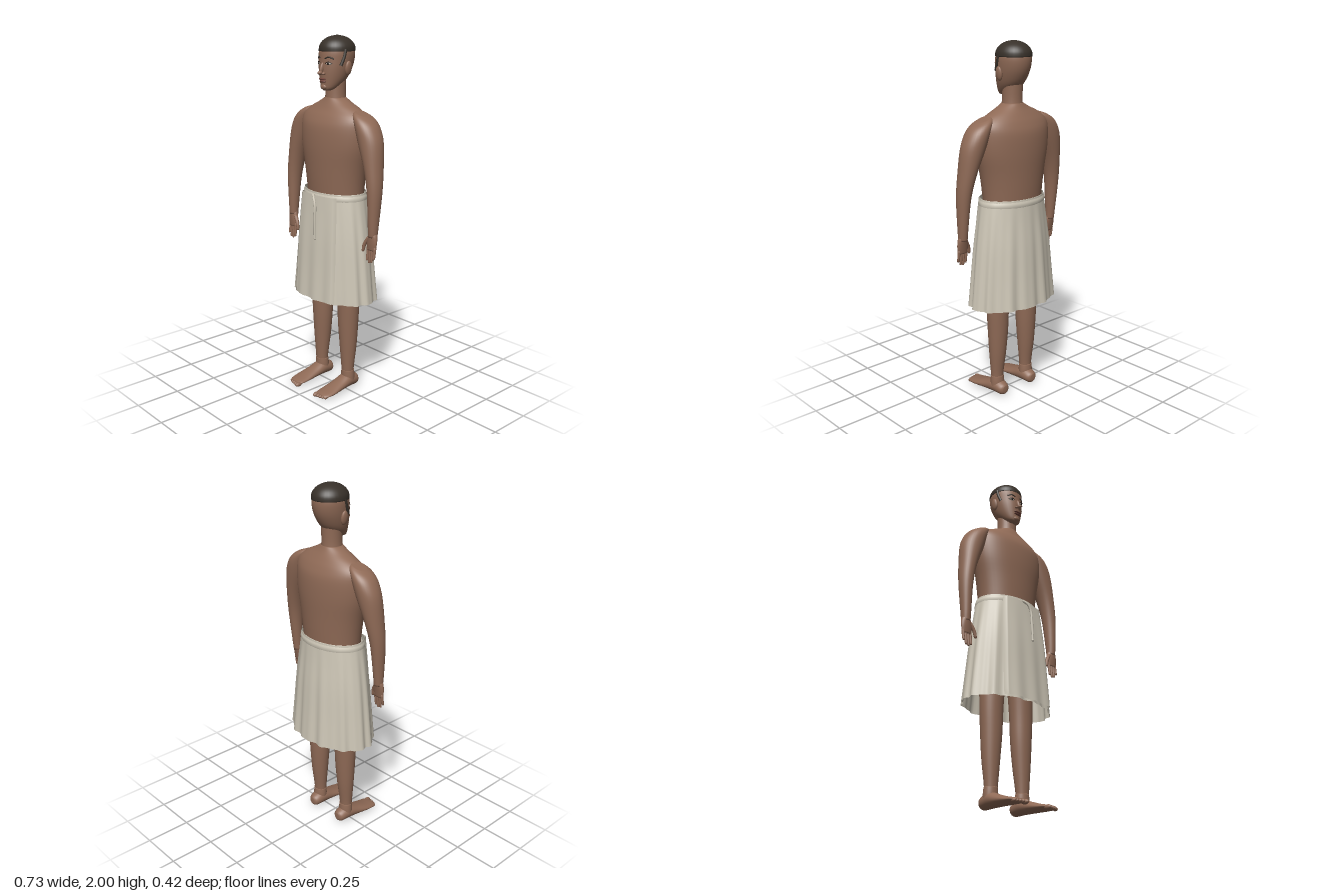
import * as THREE from 'three';

const mat = (name, color) => Object.assign(new THREE.MeshStandardMaterial({ color }), { name });

// Smooth surface from fn(u, v) -> [x, y, z]; u may wrap around
function surface(nu, nv, fn, wrap) {
  const pos = [], idx = [], cols = wrap ? nu : nu + 1;
  for (let j = 0; j <= nv; j++)
    for (let i = 0; i < cols; i++) pos.push(...fn(i / nu, j / nv));
  for (let j = 0; j < nv; j++)
    for (let i = 0; i < nu; i++) {
      const a = j * cols + i, b = j * cols + (i + 1) % cols;
      idx.push(a, b, a + cols, b, b + cols, a + cols);
    }
  const g = new THREE.BufferGeometry();
  g.setAttribute('position', new THREE.Float32BufferAttribute(pos, 3));
  g.setIndex(idx);
  g.computeVertexNormals();
  return g;
}

// Smoothly interpolated section at t in 0..1 along the keys
function section(keys, t) {
  const f = t * (keys.length - 1), i = Math.min(Math.floor(f), keys.length - 2), k = f - i;
  const at = n => keys[Math.max(0, Math.min(keys.length - 1, n))];
  return keys[i].map((b, c) => {
    const d = at(i + 1)[c], m0 = (d - at(i - 1)[c]) / 2, m1 = (at(i + 2)[c] - b) / 2;
    return b + m0 * k + (3 * (d - b) - 2 * m0 - m1) * k * k + (2 * (b - d) + m0 + m1) * k * k * k;
  });
}

// Loft of ellipses, bottom to top; key = [y, cx, cz, rx, rz, slope], closed at both ends
function loft(keys, sides = 32, steps = 4) {
  const n = (keys.length - 1) * steps;
  return surface(sides, n + 2, (u, v) => {
    const j = Math.round(v * (n + 2)) - 1;
    const [y, cx, cz, rx, rz, slope] = section(keys, Math.max(0, Math.min(n, j)) / n);
    const open = j < 0 || j > n ? 0 : 1, a = u * Math.PI * 2;
    const dx = open * rx * Math.sin(a);
    return [cx + dx, y + slope * dx, cz + open * rz * Math.cos(a)];
  }, true);
}
const mirrorKeys = (keys, s) => keys.map(k => [k[0], k[1] * s, k[2], k[3], k[4], (k[5] || 0) * s]);

// Point on the draped skirt; angle 0 is the front, off pushes outwards
const skirtKeys = [[0.56, 0.278, -0.027, 0.18], [0.72, 0.262, -0.026, 0.17], [0.9, 0.243, -0.025, 0.16],
  [1.05, 0.222, -0.024, 0.148], [1.17, 0.202, -0.024, 0.139]];
function skirtPoint(a, t, off = 0) {
  const [y, rx, cz, rz] = section(skirtKeys, t);
  const fold = 1 - t;
  const r = off + fold * (0.006 * Math.sin(13 * a) + 0.004 * Math.sin(22 * a + 1));
  return [(rx + r) * Math.sin(a), y, cz + (rz + r) * Math.cos(a)];
}

export function createModel() {
  const model = new THREE.Group();
  const skin = mat('skin', 0x8f6a56), hair = mat('hair', 0x38312a), cloth = mat('linen', 0xcdc6b6);
  const lip = mat('lips', 0x70443b), white = mat('eye white', 0xb5a89b), dark = mat('iris', 0x241a15);
  cloth.side = THREE.DoubleSide;

  const add = (name, geo, material, p = [0, 0, 0], parent = model) => {
    const m = new THREE.Mesh(geo, material);
    m.name = name;
    m.position.set(...p);
    parent.add(m);
    return m;
  };
  const ball = (name, material, p, r, parent) => {
    const m = add(name, new THREE.SphereGeometry(1, 18, 12), material, p, parent);
    m.scale.set(...r);
    return m;
  };
  const tube = (name, material, pts, r, parent) => add(name, new THREE.TubeGeometry(
    new THREE.CatmullRomCurve3(pts.map(p => new THREE.Vector3(...p))), 16, r, 8), material, [0, 0, 0], parent);

  // Torso and neck
  add('torso', loft(mirrorKeys([
    [0.95, 0, -0.03, 0.17, 0.115], [1.17, 0, -0.028, 0.186, 0.13], [1.3, 0, -0.027, 0.204, 0.136],
    [1.42, 0, -0.027, 0.23, 0.139], [1.52, 0, -0.028, 0.237, 0.132], [1.575, 0, -0.029, 0.228, 0.112],
    [1.615, 0, -0.03, 0.18, 0.088], [1.65, 0, -0.028, 0.105, 0.068], [1.675, 0, -0.027, 0.058, 0.056],
  ], 1), 48), skin);
  add('neck', loft(mirrorKeys([[1.64, 0, -0.027, 0.06, 0.058], [1.7, 0, -0.027, 0.055, 0.055],
    [1.79, 0, -0.03, 0.056, 0.055]], 1)), skin);

  // Head and close-cropped hair
  const head = new THREE.Group();
  head.name = 'head';
  model.add(head);
  add('skull', loft(mirrorKeys([
    [1.714, 0, 0.033, 0.02, 0.02], [1.728, 0, 0.02, 0.043, 0.042], [1.77, 0, -0.008, 0.067, 0.074],
    [1.82, 0, -0.024, 0.082, 0.092], [1.87, 0, -0.034, 0.09, 0.1], [1.92, 0, -0.037, 0.091, 0.1],
    [1.96, 0, -0.037, 0.075, 0.084], [1.985, 0, -0.037, 0.035, 0.04],
  ], 1)), skin, [0, 0, 0], head);
  add('hairCap', loft(mirrorKeys([
    [1.918, 0, -0.038, 0.094, 0.102], [1.945, 0, -0.038, 0.091, 0.099], [1.972, 0, -0.038, 0.073, 0.08],
    [1.991, 0, -0.038, 0.043, 0.048], [2, 0, -0.038, 0.008, 0.009],
  ], 1)), hair, [0, 0, 0], head);

  // Face
  ball('noseTip', skin, [0, 1.808, 0.083], [0.012, 0.011, 0.016], head);
  ball('noseBridge', skin, [0, 1.832, 0.07], [0.009, 0.032, 0.013], head).rotation.x = -0.28;
  ball('upperLip', lip, [0, 1.775, 0.067], [0.027, 0.006, 0.01], head);
  ball('lowerLip', lip, [0, 1.763, 0.063], [0.023, 0.007, 0.012], head);
  ball('chin', skin, [0, 1.734, 0.056], [0.022, 0.016, 0.014], head);

  for (const s of [1, -1]) {
    const side = s > 0 ? 'left' : 'right';
    ball(side + 'Nostril', skin, [0.014 * s, 1.804, 0.071], [0.009, 0.008, 0.011], head);
    ball(side + 'Eye', white, [0.037 * s, 1.856, 0.055], [0.017, 0.007, 0.007], head).rotation.y = 0.4 * s;
    ball(side + 'Iris', dark, [0.037 * s, 1.856, 0.06], [0.0065, 0.0065, 0.004], head);
    tube(side + 'UpperLid', dark, [[0.019, 1.857, 0.064], [0.037, 1.865, 0.06], [0.057, 1.856, 0.047]]
      .map(p => [p[0] * s, p[1], p[2]]), 0.002, head);
    tube(side + 'Eyebrow', hair, [[0.016, 1.882, 0.063], [0.038, 1.89, 0.056], [0.062, 1.88, 0.04]]
      .map(p => [p[0] * s, p[1], p[2]]), 0.004, head);
    ball(side + 'Ear', skin, [0.097 * s, 1.833, -0.03], [0.012, 0.038, 0.022], head).rotation.z = -0.12 * s;
    tube(side + 'Sideburn', hair, [[0.088, 1.93, -0.018], [0.087, 1.89, -0.008], [0.081, 1.845, 0.01]]
      .map(p => [p[0] * s, p[1], p[2]]), 0.009, head);

    // Arm with a sloping shoulder cap
    add(side + 'Arm', loft(mirrorKeys([
      [0.965, 0.329, 0.004, 0.025, 0.025], [1.03, 0.33, 0.002, 0.028, 0.031], [1.2, 0.328, -0.006, 0.038, 0.044],
      [1.33, 0.309, -0.016, 0.049, 0.056], [1.46, 0.275, -0.025, 0.07, 0.068, -0.1],
      [1.54, 0.247, -0.028, 0.072, 0.07, -0.25], [1.585, 0.222, -0.029, 0.066, 0.058, -0.32],
      [1.606, 0.205, -0.029, 0.04, 0.035, -0.33],
    ], s)), skin);

    // Hand with fingers and thumb
    const hand = new THREE.Group();
    hand.name = side + 'Hand';
    model.add(hand);
    add('palm', loft(mirrorKeys([[0.892, 0.327, 0.011, 0.03, 0.011], [0.93, 0.328, 0.009, 0.035, 0.016],
      [0.965, 0.33, 0.006, 0.031, 0.02], [0.985, 0.33, 0.004, 0.024, 0.022]], s)), skin, [0, 0, 0], hand);
    [0.832, 0.822, 0.826, 0.845].forEach((tip, i) => {
      const x = 0.303 + i * 0.0165;
      add('finger', loft(mirrorKeys([[tip, x, 0.019, 0.003, 0.003], [tip + 0.006, x, 0.018, 0.0065, 0.007],
        [0.87, x, 0.014, 0.0075, 0.008], [0.91, x, 0.01, 0.008, 0.009]], s), 12), skin, [0, 0, 0], hand);
    });
    add('thumb', loft(mirrorKeys([[0.877, 0.274, 0.022, 0.003, 0.003], [0.885, 0.275, 0.021, 0.008, 0.008],
      [0.92, 0.283, 0.018, 0.011, 0.01], [0.962, 0.307, 0.01, 0.012, 0.012]], s), 12), skin, [0, 0, 0], hand);

    // Leg
    add(side + 'Leg', loft(mirrorKeys([
      [0.05, 0.112, -0.025, 0.036, 0.034], [0.12, 0.112, -0.022, 0.037, 0.034], [0.26, 0.111, -0.026, 0.05, 0.047],
      [0.4, 0.109, -0.027, 0.06, 0.056], [0.56, 0.109, -0.027, 0.067, 0.062], [0.8, 0.1, -0.027, 0.076, 0.075],
      [1.02, 0.09, -0.028, 0.085, 0.09],
    ], s)), skin);
    add(side + 'Ankle', loft(mirrorKeys([[0.05, 0.112, -0.025, 0.042, 0.038],
      [0.085, 0.112, -0.024, 0.041, 0.037], [0.115, 0.112, -0.023, 0.038, 0.035]], s)), skin);

    // Foot, lofted from heel to toes
    const foot = new THREE.Group();
    foot.name = side + 'Foot';
    model.add(foot);
    const sole = loft(mirrorKeys([
      [-0.092, 0.11, -0.042, 0.016, 0.02], [-0.075, 0.11, -0.042, 0.036, 0.034], [-0.02, 0.111, -0.05, 0.044, 0.042],
      [0.05, 0.113, -0.037, 0.047, 0.03], [0.12, 0.115, -0.025, 0.052, 0.019], [0.17, 0.114, -0.019, 0.048, 0.013],
      [0.192, 0.112, -0.016, 0.034, 0.009],
    ], s));
    add('instep', sole.rotateX(Math.PI / 2), skin, [0, 0, 0], foot);
    [[0.08, 0.19, 0.013, 0.023], [0.1, 0.189, 0.01, 0.018], [0.117, 0.187, 0.01, 0.017],
      [0.133, 0.183, 0.0095, 0.016], [0.148, 0.177, 0.009, 0.015]].forEach(([x, z, r, len]) =>
      ball('toe', skin, [x * s, 0.013, z], [r, Math.min(r, 0.013), len], foot));
  }

  // Wrap skirt with waistband and overlapping front panel
  const skirt = new THREE.Group();
  skirt.name = 'wrapSkirt';
  model.add(skirt);
  add('skirt', surface(112, 20, (u, v) => skirtPoint(u * Math.PI * 2, v), true), cloth, [0, 0, 0], skirt);
  add('waistband', surface(64, 3, (u, v) => {
    const p = skirtPoint(u * Math.PI * 2, 0.9 + 0.1 * v, v === 0 || v === 1 ? -0.004 : 0.004);
    p[1] = 1.12 + 0.05 * v;
    return p;
  }, true), cloth, [0, 0, 0], skirt);
  add('frontPanel', surface(32, 16, (u, v) => {
    const k = u * 2 - 1, t = 0.02 + 0.93 * v, half = 0.6 + 0.1 * v;
    const p = skirtPoint(k * half, t, 0.004);
    const flat = skirtPoint(0, t, 0.006)[2] - 0.018 * k * k + 0.004 * (1 - v) * Math.sin(k * 9);
    if (Math.abs(k) < 0.99) p[2] = Math.max(p[2], flat);
    return p;
  }), cloth, [0, 0, 0], skirt);

  // Tie cord hanging from the waistband
  tube('tieCord', cloth, [[-0.018, 1.155, 0.122], [0.004, 1.14, 0.136], [0.022, 1.105, 0.143],
    [0.026, 1.04, 0.147], [0.029, 0.92, 0.15]], 0.007, skirt);
  ball('cordEnd', cloth, [0.029, 0.92, 0.15], [0.007, 0.007, 0.007], skirt);

  return model;
}
